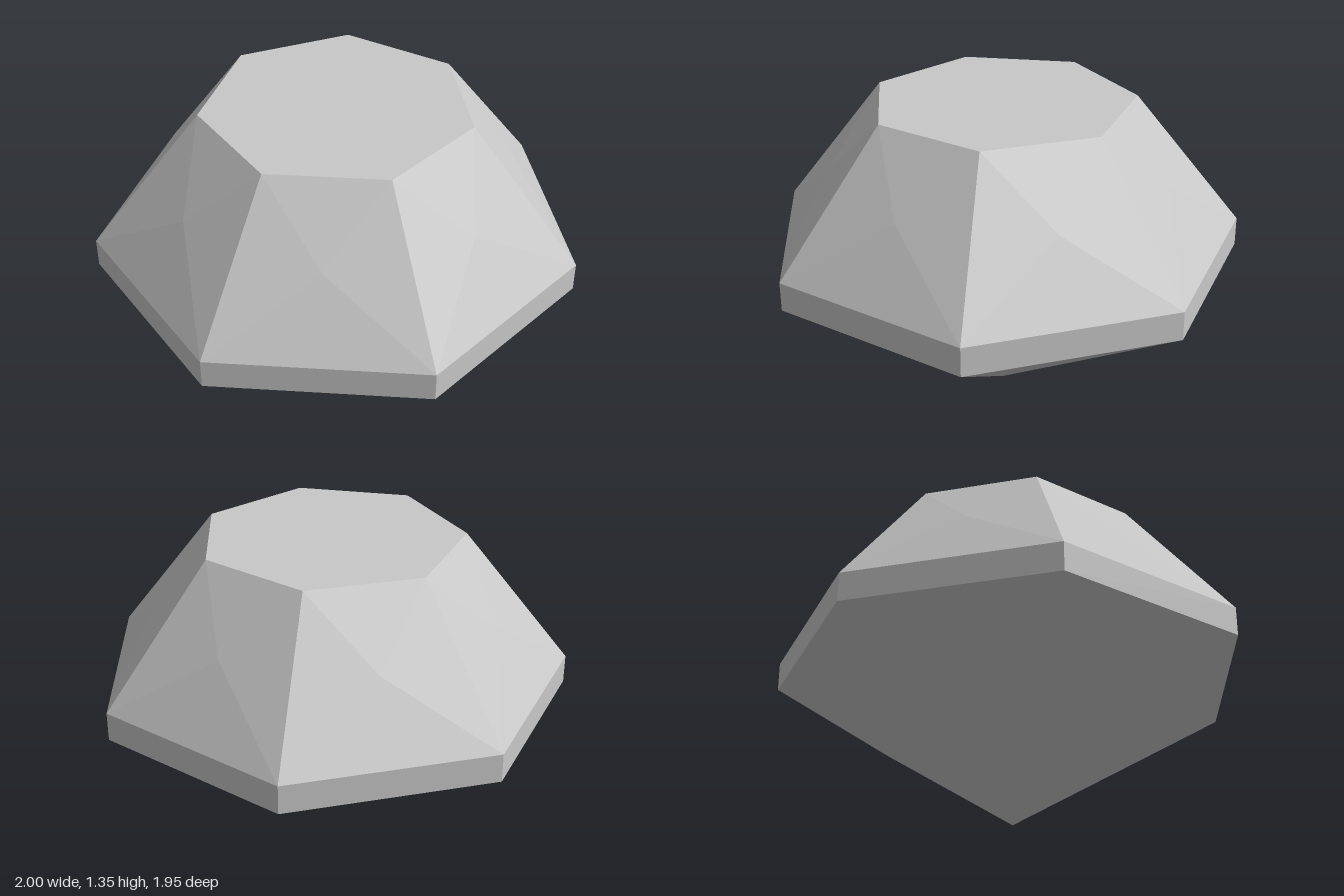
import * as THREE from 'three';

const SIDES = 7;
const R = 1.026;        // girdle radius
const TABLE_R = 0.564;  // table radius
const LOW = 0.638, HIGH = 0.762, TOP = 1.347;
const BULGE = 0.015;    // slight swelling of each crown facet

const corner = (i, r, y) => {
  const a = Math.PI + (i / SIDES) * Math.PI * 2;
  return new THREE.Vector3(Math.sin(a) * r, y, Math.cos(a) * r);
};

// Crown: seven facets, each a shallow four-sided pyramid
function crownGeometry() {
  const points = [];
  for (let i = 0; i < SIDES; i++) {
    const quad = [corner(i, R, HIGH), corner(i + 1, R, HIGH), corner(i + 1, TABLE_R, TOP), corner(i, TABLE_R, TOP)];
    const normal = quad[1].clone().sub(quad[0]).cross(quad[3].clone().sub(quad[0])).normalize();
    const mid = new THREE.Vector3();
    quad.forEach((p) => mid.addScaledVector(p, 0.25));
    mid.addScaledVector(normal, BULGE);
    quad.forEach((p, k) => points.push(p, quad[(k + 1) % 4], mid));
  }
  const geometry = new THREE.BufferGeometry().setFromPoints(points);
  geometry.computeVertexNormals();
  return geometry;
}

export function createModel() {
  const gem = new THREE.Group();
  gem.name = 'gem';
  const stone = new THREE.MeshStandardMaterial({ color: 0xc8c8c8, flatShading: true });
  stone.name = 'greyStone';

  const add = (name, geometry, y = 0) => {
    const mesh = new THREE.Mesh(geometry, stone);
    mesh.name = name;
    mesh.position.y = y;
    gem.add(mesh);
  };
  const ring = (top, bottom, height) =>
    new THREE.CylinderGeometry(top, bottom, height, SIDES, 1, true, Math.PI);

  add('pavilion', ring(R, 0, LOW), LOW / 2);
  add('girdle', ring(R, R, HIGH - LOW), (LOW + HIGH) / 2);
  add('crown', crownGeometry());
  add('table', new THREE.CircleGeometry(TABLE_R, SIDES, Math.PI / 2).rotateX(-Math.PI / 2), TOP);

  // Centre the odd-sided outline front to back
  gem.children.forEach((part) => { part.position.z = 0.05; });
  return gem;
}
